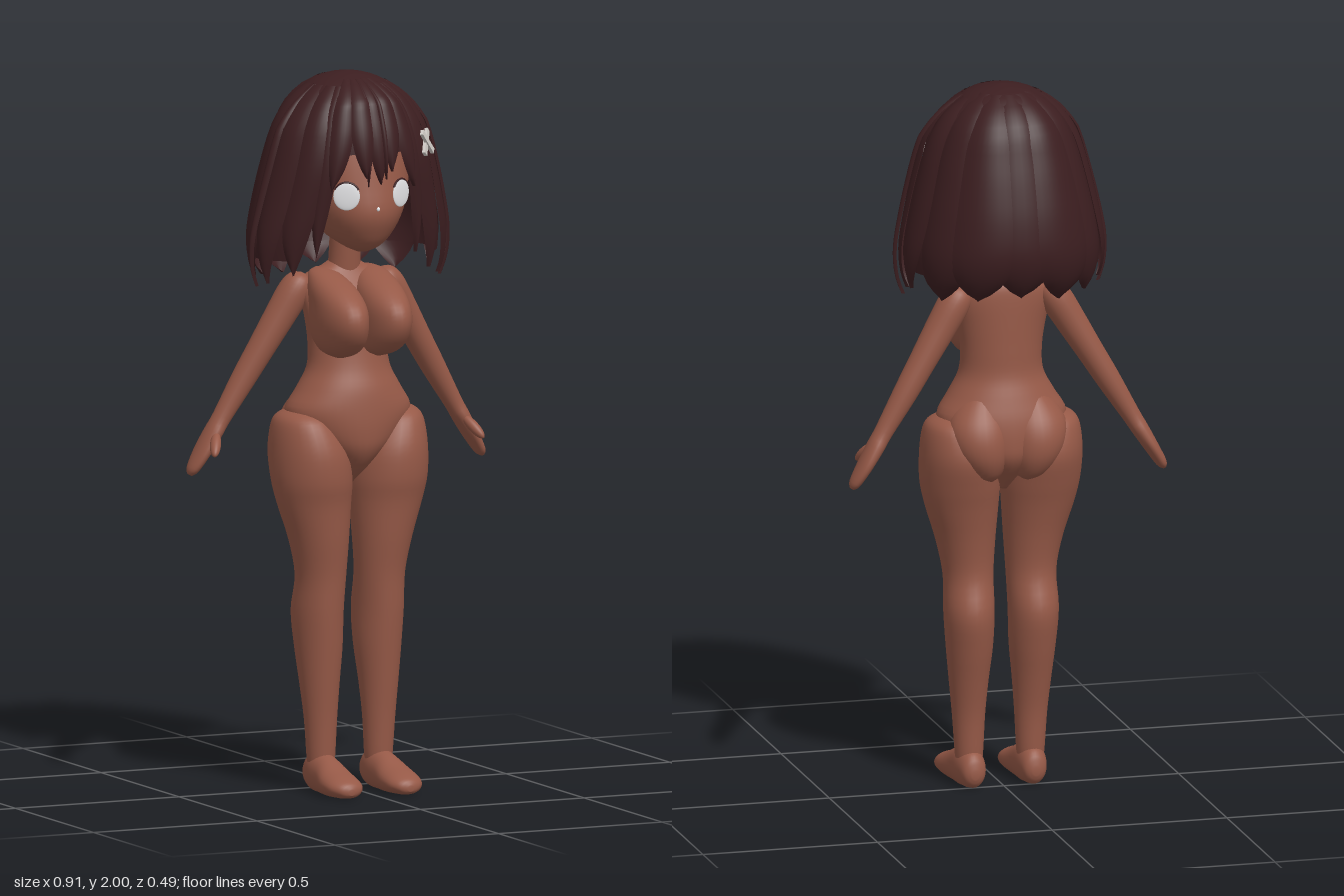
import * as THREE from 'three';

const mat = (name, color, side = THREE.FrontSide) => {
  const m = new THREE.MeshStandardMaterial({ color, side });
  m.name = name;
  return m;
};

function buildGeometry(pos, idx) {
  const g = new THREE.BufferGeometry();
  g.setAttribute('position', new THREE.Float32BufferAttribute(pos, 3));
  g.setIndex(idx);
  g.computeVertexNormals();
  return g;
}

// Smooth interpolation between rows of numbers
function smoothRows(rows, steps) {
  const out = [];
  const at = i => rows[Math.max(0, Math.min(rows.length - 1, i))];
  for (let i = 0; i < rows.length - 1; i++) {
    for (let s = 0; s < steps; s++) {
      const t = s / steps;
      out.push(rows[i].map((p1, k) => {
        const p0 = at(i - 1)[k], p2 = at(i + 1)[k], p3 = at(i + 2)[k];
        const m1 = (p2 - p0) / 2, m2 = (p3 - p1) / 2;
        return p1 + m1 * t + (3 * (p2 - p1) - 2 * m1 - m2) * t * t + (2 * (p1 - p2) + m1 + m2) * t * t * t;
      }));
    }
  }
  out.push(rows[rows.length - 1]);
  return out;
}

// Closed loft of ellipses, rows ascending: [y, centreX, centreZ, radiusX, radiusZ]
function loft(rows, n = 28, maxZ = Infinity) {
  const rings = smoothRows(rows, 4), pos = [], idx = [];
  for (const [y, cx, cz, rx, rz] of rings) {
    for (let j = 0; j < n; j++) {
      const a = (j / n) * Math.PI * 2;
      pos.push(cx + Math.cos(a) * rx, y, Math.min(maxZ, cz + Math.sin(a) * rz));
    }
  }
  for (let i = 0; i < rings.length - 1; i++) {
    for (let j = 0; j < n; j++) {
      const a = i * n + j, c = i * n + (j + 1) % n;
      idx.push(a, a + n, c, a + n, c + n, c);
    }
  }
  const last = rings.length - 1, c0 = rings.length * n;
  for (const r of [rings[0], rings[last]]) pos.push(r[1], r[0], Math.min(maxZ, r[2]));
  for (let j = 0; j < n; j++) {
    const k = (j + 1) % n;
    idx.push(c0, j, k, c0 + 1, last * n + k, last * n + j);
  }
  return buildGeometry(pos, idx);
}

// Hair volume: [y, half width, front depth, back depth]
const HAIR = smoothRows([
  [2.0, 0, 0, 0], [1.993, 0.05, 0.05, 0.05], [1.975, 0.1, 0.1, 0.1], [1.94, 0.145, 0.145, 0.145],
  [1.9, 0.175, 0.165, 0.175], [1.83, 0.205, 0.185, 0.2], [1.75, 0.228, 0.19, 0.225],
  [1.65, 0.252, 0.175, 0.248], [1.55, 0.27, 0.155, 0.254], [1.47, 0.266, 0.135, 0.225], [1.41, 0.245, 0.12, 0.17],
], 4);

function hairPoint(a, y, off) {
  let i = 0;
  while (i < HAIR.length - 2 && HAIR[i + 1][0] > y) i++;
  const p = HAIR[i], q = HAIR[i + 1], t = (p[0] - y) / (p[0] - q[0]);
  const [, w, f, b] = p.map((v, k) => v + (q[k] - v) * t);
  const c = Math.cos(a);
  return [Math.sin(a) * (w + off), y, 0.025 + c * ((c > 0 ? f : b) + off)];
}

// Sheet of points, fn(u, v) with u across and v down
function sheet(cols, rows, fn) {
  const pos = [], idx = [];
  for (let i = 0; i <= rows; i++) for (let j = 0; j <= cols; j++) pos.push(...fn(j / cols, i / rows));
  for (let i = 0; i < rows; i++) {
    for (let j = 0; j < cols; j++) {
      const a = i * (cols + 1) + j, d = a + cols + 1;
      idx.push(a, d, a + 1, d, d + 1, a + 1);
    }
  }
  return buildGeometry(pos, idx);
}

// Tapering lock of hair lying on the volume
function lock(a, width, yTop, yEnd, off, sweep = 0, blunt = 3) {
  return sheet(8, 24, (u, v) => {
    const s = u * 2 - 1, w = width * (1 - Math.pow(v, blunt)) * (0.75 + 0.25 * v);
    return hairPoint(a + s * w + sweep * v * v, yTop + (yEnd - yTop) * v, off * Math.min(1, v * 5) + 0.01 * (1 - s * s) - 0.005);
  });
}

export function createModel() {
  const root = new THREE.Group();
  root.name = 'figure';
  const skin = mat('skin', 0x965947);
  const hair = mat('darkHair', 0x3c1e20, THREE.DoubleSide);
  const white = mat('eyeWhite', 0xe6e6e8);
  const silver = mat('clipSilver', 0xd2cdc8);

  const add = (name, geometry, material, parent = root) => {
    const m = new THREE.Mesh(geometry, material);
    m.name = name;
    parent.add(m);
    return m;
  };
  const ball = (name, material, p, s, parent = root) => {
    const m = add(name, new THREE.SphereGeometry(1, 28, 20), material, parent);
    m.position.set(...p);
    m.scale.set(...s);
    return m;
  };
  // Loft mirrored to the given side
  const sideLoft = (s, rows, ...rest) => loft(rows.map(([y, x, ...r]) => [y, x * s, ...r]), ...rest);

  // Torso, neck and head
  add('torso', loft([
    [0.85, 0, 0.02, 0.012, 0.03], [0.9, 0, 0.025, 0.05, 0.09], [0.95, 0, 0.025, 0.105, 0.125],
    [1.0, 0, 0.027, 0.155, 0.132], [1.06, 0, 0.03, 0.183, 0.128], [1.12, 0, 0.035, 0.15, 0.115],
    [1.18, 0, 0.035, 0.119, 0.096], [1.25, 0, 0.03, 0.115, 0.088], [1.32, 0, 0.028, 0.125, 0.085],
    [1.39, 0, 0.015, 0.137, 0.07], [1.43, 0, 0.005, 0.12, 0.055], [1.455, 0, 0.005, 0.065, 0.042],
    [1.47, 0, 0.005, 0.04, 0.035],
  ], 40), skin);
  add('neck', loft([[1.42, 0, 0.005, 0.05, 0.045], [1.48, 0, 0.012, 0.044, 0.044], [1.62, 0, 0.025, 0.044, 0.044]]), skin);
  add('head', loft([
    [1.508, 0, 0.12, 0.015, 0.02], [1.525, 0, 0.115, 0.05, 0.065], [1.56, 0, 0.09, 0.093, 0.118],
    [1.62, 0, 0.065, 0.133, 0.165], [1.7, 0, 0.045, 0.16, 0.172], [1.8, 0, 0.03, 0.165, 0.165],
    [1.88, 0, 0.03, 0.14, 0.14], [1.94, 0, 0.03, 0.07, 0.08],
  ], 36), skin);
  ball('noseHighlight', white, [0, 1.638, 0.23], [0.005, 0.006, 0.004]);

  for (const s of [1, -1]) {
    const side = s > 0 ? 'left' : 'right';
    add(side + 'Chest', sideLoft(s, [
      [1.212, 0.058, 0.1, 0.012, 0.02], [1.228, 0.06, 0.105, 0.044, 0.07], [1.26, 0.063, 0.11, 0.062, 0.112],
      [1.31, 0.066, 0.115, 0.068, 0.132], [1.36, 0.066, 0.105, 0.067, 0.128], [1.405, 0.068, 0.07, 0.06, 0.1],
      [1.44, 0.072, 0.03, 0.04, 0.052], [1.452, 0.075, 0.01, 0.012, 0.02],
    ]), skin);
    add(side + 'Seat', sideLoft(s, [
      [0.885, 0.055, -0.03, 0.015, 0.03], [0.905, 0.065, -0.036, 0.046, 0.056], [0.95, 0.074, -0.04, 0.073, 0.076],
      [1.0, 0.08, -0.04, 0.085, 0.08], [1.05, 0.08, -0.03, 0.085, 0.076], [1.1, 0.075, -0.005, 0.064, 0.07],
      [1.15, 0.06, 0.01, 0.03, 0.05],
    ]), skin);

    // Eye with upper lash
    ball(side + 'Eye', white, [s * 0.083, 1.675, 0.2], [0.037, 0.039, 0.0049]).rotation.y = s * 0.5;
    const lash = add(side + 'Lash', new THREE.TorusGeometry(0.037, 0.003, 6, 16, 2.2), hair);
    lash.position.set(s * 0.083, 1.677, 0.2);
    lash.rotation.set(0, s * 0.5, 0.47);

    // Leg and foot
    add(side + 'Leg', sideLoft(s, [
      [0.06, 0.088, 0.045, 0.036, 0.038], [0.1, 0.088, 0.045, 0.04, 0.041], [0.2, 0.089, 0.045, 0.046, 0.047],
      [0.3, 0.09, 0.04, 0.055, 0.061], [0.4, 0.09, 0.033, 0.065, 0.077], [0.5, 0.092, 0.03, 0.07, 0.088],
      [0.6, 0.09, 0.047, 0.07, 0.077], [0.7, 0.097, 0.05, 0.083, 0.088], [0.8, 0.109, 0.045, 0.102, 0.105],
      [0.87, 0.115, 0.042, 0.111, 0.122], [0.95, 0.122, 0.033, 0.107, 0.13], [1.02, 0.136, 0.03, 0.085, 0.108],
      [1.05, 0.142, 0.028, 0.062, 0.08], [1.065, 0.145, 0.025, 0.025, 0.04],
    ]), skin);
    const foot = add(side + 'Foot', sideLoft(s, [
      [-0.022, 0.087, -0.04, 0.01, 0.012], [-0.008, 0.087, -0.047, 0.032, 0.043], [0.04, 0.088, -0.05, 0.043, 0.06],
      [0.1, 0.089, -0.043, 0.046, 0.054], [0.16, 0.091, -0.032, 0.054, 0.04], [0.21, 0.091, -0.026, 0.051, 0.03],
      [0.24, 0.09, -0.022, 0.033, 0.02], [0.25, 0.09, -0.018, 0.008, 0.008],
    ], 28, 0), skin);
    foot.rotation.x = Math.PI / 2;

    // Arm, mitten hand and thumb
    const arm = new THREE.Group();
    arm.name = side + 'Arm';
    arm.position.set(s * 0.135, 1.405, -0.005);
    arm.rotation.z = s * 0.545;
    root.add(arm);
    add(side + 'ArmAndHand', loft([
      [-0.603, 0, -0.037, 0.006, 0.01], [-0.585, 0, -0.037, 0.015, 0.027], [-0.53, 0, -0.036, 0.02, 0.04],
      [-0.47, 0, -0.033, 0.024, 0.037], [-0.42, 0, -0.03, 0.026, 0.029], [-0.3, 0, -0.024, 0.034, 0.035],
      [-0.2, 0, -0.016, 0.038, 0.04], [-0.1, 0, -0.008, 0.043, 0.044], [-0.02, 0, -0.002, 0.045, 0.047],
      [0.02, 0, 0, 0.034, 0.036], [0.036, 0, 0, 0.01, 0.01],
    ], 24), skin, arm);
    ball(side + 'Thumb', skin, [0, -0.5, 0.017], [0.015, 0.046, 0.016], arm).rotation.x = -0.75;
  }

  // Hair base shell, high at the forehead and low at the back
  add('hairBase', sheet(72, 26, (u, v) => {
    const a = (u * 2 - 1) * Math.PI;
    const end = 1.79 - 0.3 * THREE.MathUtils.smoothstep(Math.abs(a), 0.55, 0.9);
    return hairPoint(a, 2 - (2 - end) * Math.pow(v, 1.7), 0);
  }), hair);

  // Fringe: [angle, width, end height, sweep]
  [[0.02, 0.2, 1.705, 0.03], [0.24, 0.2, 1.74, -0.06], [-0.22, 0.2, 1.725, 0.08], [0.46, 0.2, 1.69, 0.06],
    [-0.46, 0.2, 1.69, -0.06], [0.1, 0.06, 1.72, 0], [-0.1, 0.06, 1.7, 0]].forEach(([a, w, y, sw], i) =>
    add('fringeLock' + i, lock(a, w, 1.985, y, 0.012 + 0.003 * (i % 3), sw), hair));

  for (const s of [1, -1]) {
    // Side locks framing the face: [angle, width, end height, offset, sweep, bluntness]
    [[0.64, 0.17, 1.5, 0.006, -0.06, 3], [0.86, 0.26, 1.45, 0.012, 0, 5], [1.25, 0.3, 1.425, 0.018, 0.04, 5],
      [1.72, 0.32, 1.44, 0.012, 0, 5], [1.4, 0.09, 1.415, 0.032, 0.1, 3]].forEach(([a, w, y, off, sw, b], i) =>
      add('sideLock' + i, lock(a * s, w, 1.97, y, off, sw * s, b), hair));
  }

  // Blunt back locks
  for (let i = 0; i < 5; i++) {
    add('backLock' + i, lock(Math.PI + (i - 2) * 0.46, 0.38, 1.985, 1.42 + 0.008 * (i % 3), 0.003 + 0.007 * (i % 2), 0, 10), hair);
  }

  // Crossed hair clip
  const clip = new THREE.Group();
  clip.name = 'hairClip';
  clip.position.set(...hairPoint(0.83, 1.807, 0.026));
  clip.rotation.set(-0.2, 0.8, 0, 'YXZ');
  root.add(clip);
  for (const s of [1, -1]) {
    const bar = add('clipBar', new THREE.BoxGeometry(0.017, 0.084, 0.009), silver, clip);
    bar.rotation.z = s * 0.75;
    bar.position.z = s * 0.002;
  }
  return root;
}
